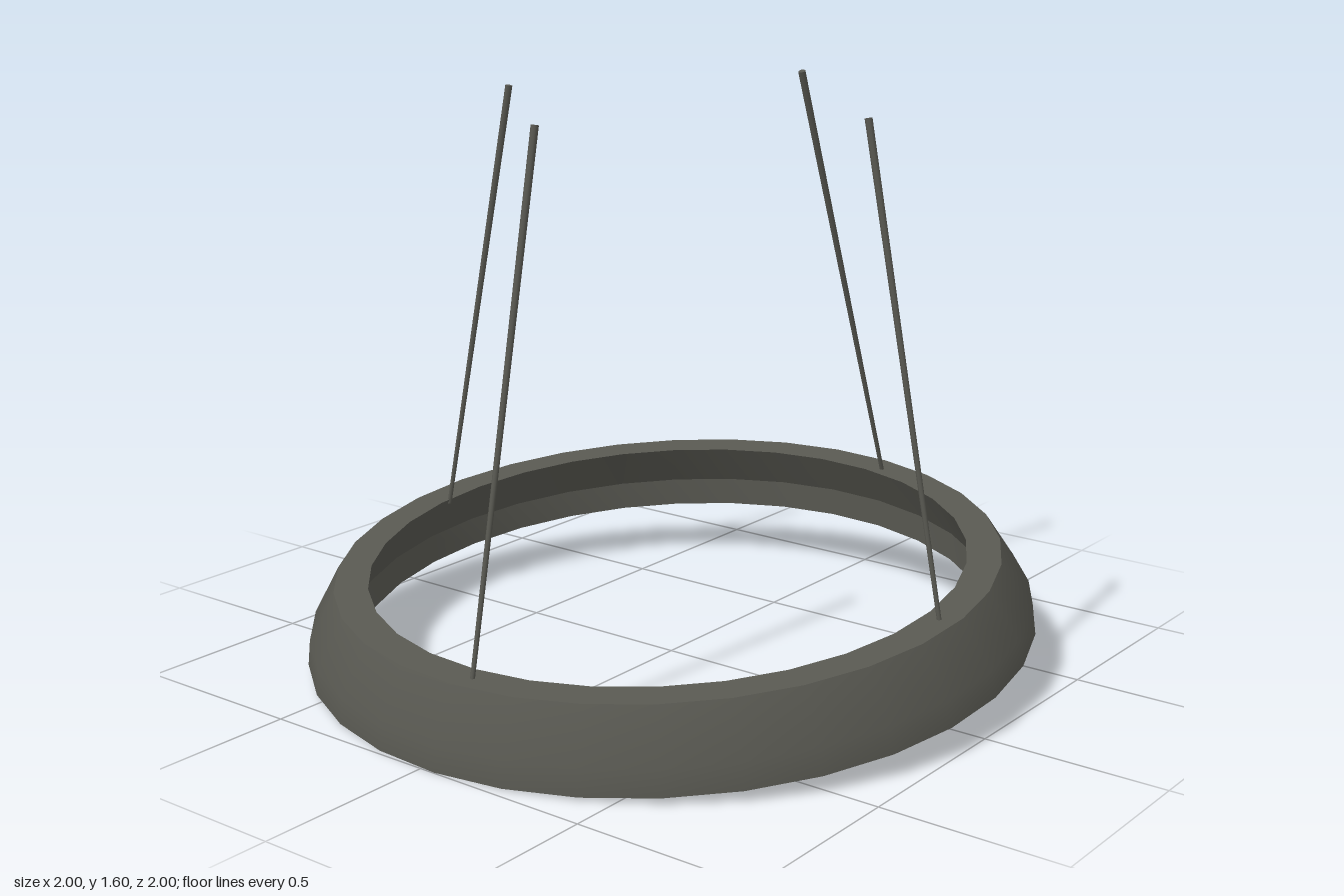
import * as THREE from 'three';
import { toCreasedNormals } from 'three/addons/utils/BufferGeometryUtils.js';

export function createModel() {
  const model = new THREE.Group();
  model.name = 'pendantLamp';
  const metal = new THREE.MeshStandardMaterial({ color: 0x585851 });
  metal.name = 'dark bronze';

  // Hollow ring: closed profile (radius, height), outside up, inside down, then the grooved underside
  const profile = [
    [1.003, 0], [0.992, 0.07], [0.915, 0.2], [0.822, 0.2], [0.88, 0.08], [0.875, 0],
    [0.905, 0], [0.905, 0.015], [0.96, 0.015], [0.96, 0], [1.003, 0],
  ].map(([r, y]) => new THREE.Vector2(r, y));
  const ring = new THREE.Mesh(
    toCreasedNormals(new THREE.LatheGeometry(profile, 32, 0.043), 0.45), metal);
  ring.name = 'lampRing';
  ring.position.y = 0.094;
  ring.rotation.z = 0.0935;
  model.add(ring);

  // Four slim suspension rods, slightly thicker at the top
  const up = new THREE.Vector3(0, 1, 0);
  const addRod = (name, from, to) => {
    const a = new THREE.Vector3(...from);
    const b = new THREE.Vector3(...to);
    const dir = b.clone().sub(a);
    const rod = new THREE.Mesh(new THREE.CylinderGeometry(0.01, 0.006, dir.length(), 8), metal);
    rod.name = name;
    rod.position.copy(a).add(b).multiplyScalar(0.5);
    rod.quaternion.setFromUnitVectors(up, dir.normalize());
    model.add(rod);
  };
  addRod('rightRod', [-0.88, 0.2, 0.065], [-0.617, 1.54, 0.065]);
  addRod('leftRod', [0.818, 0.36, 0.17], [0.357, 1.597, 0.17]);
  addRod('frontRod', [-0.015, 0.28, 0.868], [-0.014, 1.54, 0.622]);
  addRod('backRod', [-0.017, 0.28, -0.825], [0.001, 1.54, -0.573]);

  return model;
}
